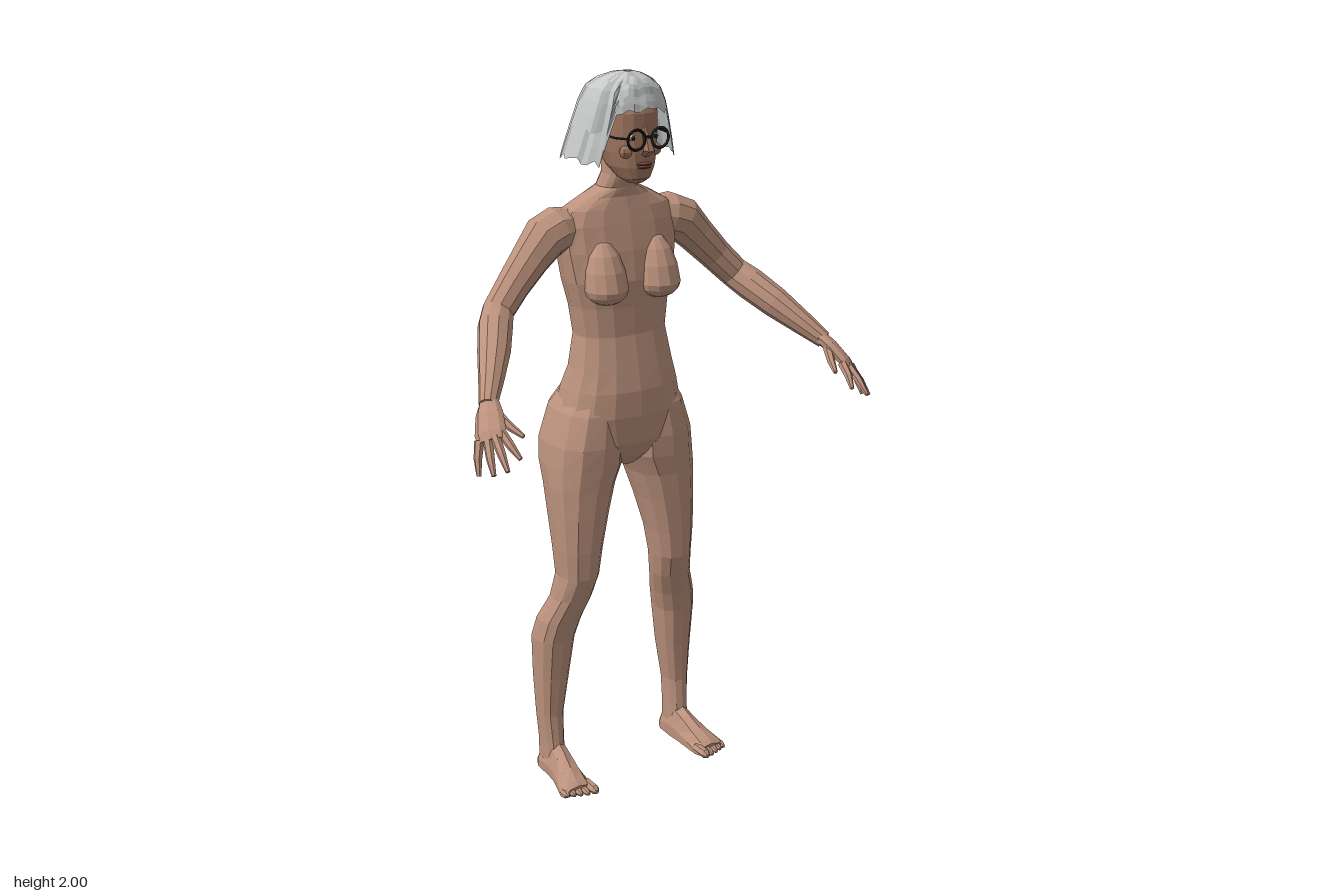
import * as THREE from 'three';

const mat = (name, color, side = THREE.FrontSide) => {
  const m = new THREE.MeshStandardMaterial({ color, side });
  m.name = name;
  return m;
};
const V = (p) => new THREE.Vector3(...p);

// Flat-shaded geometry from triangle corners, turned outward by its signed volume
function solid(points) {
  let vol = 0;
  const t = new THREE.Vector3();
  for (let i = 0; i < points.length; i += 3) vol += points[i].dot(t.crossVectors(points[i + 1], points[i + 2]));
  const out = [];
  for (let i = 0; i < points.length; i += 3) {
    const tri = vol < 0 ? [points[i], points[i + 2], points[i + 1]] : points.slice(i, i + 3);
    tri.forEach((p) => out.push(p.x, p.y, p.z));
  }
  const g = new THREE.BufferGeometry();
  g.setAttribute('position', new THREE.Float32BufferAttribute(out, 3));
  g.computeVertexNormals();
  return g;
}

// Closed skin over a list of rings
function loft(rings) {
  const pts = [], n = rings[0].length;
  for (let i = 0; i + 1 < rings.length; i++)
    for (let j = 0; j < n; j++) {
      const k = (j + 1) % n, a = rings[i][j], b = rings[i][k], c = rings[i + 1][k], d = rings[i + 1][j];
      pts.push(a, b, c, a, c, d);
    }
  [rings[0], rings[rings.length - 1]].forEach((r, e) => {
    const mid = r.reduce((s, p) => s.add(p), new THREE.Vector3()).divideScalar(n);
    for (let j = 0; j < n; j++) {
      const k = (j + 1) % n;
      if (e) pts.push(mid, r[j], r[k]); else pts.push(mid, r[k], r[j]);
    }
  });
  return solid(pts);
}

// Horizontal ring from y, x range and z range
const pw = (v, p) => Math.sign(v) * Math.abs(v) ** p;
function ring([y, x0, x1, zf, zb], n = 16, p = 0.85) {
  return Array.from({ length: n }, (_, j) => {
    const a = (j / n) * Math.PI * 2;
    return new THREE.Vector3((x0 + x1) / 2 + ((x1 - x0) / 2) * pw(Math.sin(a), p), y, (zf + zb) / 2 + ((zf - zb) / 2) * pw(Math.cos(a), p));
  });
}
const centred = (rows, n) => loft(rows.map(([y, w, zf, zb]) => ring([y, -w, w, zf, zb], n)));

// Limb along a path; each stop is [x, y, z, half width, half thickness]
function limb(stops, widthAxis, n = 8) {
  const c = stops.map(V3);
  return loft(stops.map((s, i) => {
    const t = c[Math.min(i + 1, c.length - 1)].clone().sub(c[Math.max(i - 1, 0)]).normalize();
    const u = V(widthAxis).addScaledVector(t, -V(widthAxis).dot(t)).normalize();
    const v = t.clone().cross(u);
    return Array.from({ length: n }, (_, j) => {
      const a = (j / n) * Math.PI * 2;
      return c[i].clone().addScaledVector(u, s[3] * Math.cos(a)).addScaledVector(v, (s[4] ?? s[3]) * Math.sin(a));
    });
  }));
}
function V3(s) { return new THREE.Vector3(s[0], s[1], s[2]); }

function corners(g) {
  const p = (g.index ? g.toNonIndexed() : g).attributes.position;
  return Array.from({ length: p.count }, (_, i) => new THREE.Vector3().fromBufferAttribute(p, i));
}
// Reflected copy for the other side
const mirror = (g) => solid(corners(g).map((p) => p.setX(-p.x)));
// Faceted ellipsoid
function ellipsoid([x, y, z], [a, b, c], n = 10) {
  return solid(corners(new THREE.SphereGeometry(1, n, Math.max(6, n - 3))).map((p) => p.set(x + p.x * a, y + p.y * b, z + p.z * c)));
}

export function createModel() {
  const model = new THREE.Group();
  model.name = 'figure';
  const skin = mat('skin', 0xbc927d), faceSkin = mat('face skin', 0xa0765f), lip = mat('lips', 0x7d4b42);
  const white = mat('eye white', 0xd8d2ca), dark = mat('dark frame', 0x1c1a1a);
  const greys = [mat('light grey hair', 0xc6c9c8, THREE.DoubleSide), mat('grey hair', 0xadb0b1, THREE.DoubleSide), mat('dark grey hair', 0x909495, THREE.DoubleSide)];
  const add = (name, g, m) => {
    const mesh = new THREE.Mesh(g, m);
    mesh.name = name;
    model.add(mesh);
  };
  const pair = (name, g, m) => {
    add('left ' + name, g, m);
    add('right ' + name, mirror(g), m);
  };

  // Torso and neck: y, half width, front z, back z
  add('torso', centred([
    [0.925, 0.025, -0.06, -0.14], [0.955, 0.085, -0.035, -0.19], [1.0, 0.15, -0.012, -0.235], [1.08, 0.182, -0.002, -0.245],
    [1.15, 0.167, -0.004, -0.235], [1.21, 0.15, -0.016, -0.207], [1.3, 0.134, -0.035, -0.197], [1.38, 0.145, -0.035, -0.205],
    [1.45, 0.163, -0.03, -0.215], [1.53, 0.176, -0.042, -0.218], [1.6, 0.18, -0.058, -0.212], [1.64, 0.16, -0.068, -0.2],
    [1.67, 0.105, -0.075, -0.187], [1.695, 0.056, -0.072, -0.175], [1.73, 0.047, -0.055, -0.16], [1.81, 0.047, -0.045, -0.16],
  ]), skin);
  // Chest form, tapering upward
  const chest = solid(corners(new THREE.SphereGeometry(1, 12, 8)).map((p) =>
    p.set(0.082 + p.x * 0.06, 1.435 + p.y * (p.y > 0 ? 0.13 : 0.042), -0.045 + p.z * 0.058 - Math.max(0, p.y) * 0.025)));
  pair('chest', chest, skin);

  // Legs: y, inner x, outer x, front z, back z
  pair('leg', loft([
    [1.16, 0.03, 0.145, -0.05, -0.21], [1.09, 0.008, 0.188, -0.02, -0.256], [1.0, 0.004, 0.217, -0.012, -0.266],
    [0.94, 0.006, 0.223, -0.015, -0.254], [0.88, 0.036, 0.224, -0.02, -0.218], [0.8, 0.06, 0.221, -0.022, -0.195],
    [0.7, 0.085, 0.216, -0.025, -0.17], [0.62, 0.098, 0.21, -0.03, -0.16], [0.55, 0.11, 0.222, -0.055, -0.168],
    [0.48, 0.13, 0.25, -0.077, -0.198], [0.42, 0.145, 0.26, -0.09, -0.213], [0.3, 0.16, 0.256, -0.105, -0.21],
    [0.18, 0.179, 0.25, -0.115, -0.2], [0.1, 0.182, 0.244, -0.108, -0.197], [0.04, 0.182, 0.244, -0.1, -0.198],
  ].map((r) => ring(r, 12))), skin);

  // Feet: z, centre x, half width, height
  pair('foot', loft([
    [-0.2, 0.212, 0.022, 0.04], [-0.18, 0.212, 0.032, 0.075], [-0.12, 0.212, 0.035, 0.1], [-0.08, 0.215, 0.036, 0.082],
    [-0.03, 0.222, 0.044, 0.056], [0.01, 0.228, 0.05, 0.036], [0.025, 0.228, 0.046, 0.026],
  ].map(([z, x, w, h]) => [[-1, 0], [-1, 0.35], [-0.6, 0.85], [0, 1], [0.6, 0.8], [1, 0.3], [1, 0]].map(([a, b]) => new THREE.Vector3(x + a * w, b * h, z)))), skin);
  for (let i = 0; i < 5; i++) {
    const x = [0.19, 0.212, 0.231, 0.249, 0.266][i], r = i ? 0.01 : 0.014, tip = 0.06 - 0.007 * i;
    pair('toe ' + (i + 1), limb([[x, r, 0, r], [x, r, tip - 0.012, r], [x, r * 0.8, tip, r * 0.5]], [1, 0, 0], 6), skin);
  }

  // Arms, hands and fingers
  pair('arm', limb([
    [0.11, 1.605, -0.14, 0.04], [0.17, 1.59, -0.142, 0.062], [0.215, 1.572, -0.14, 0.062], [0.26, 1.525, -0.135, 0.053],
    [0.32, 1.462, -0.125, 0.046], [0.375, 1.405, -0.108, 0.043], [0.405, 1.375, -0.07, 0.046], [0.445, 1.33, -0.005, 0.043],
    [0.49, 1.28, 0.06, 0.033], [0.528, 1.238, 0.112, 0.024],
  ], [0, 0, 1], 10), skin);
  const across = [0.055, -0.02, -0.04];
  pair('palm', limb([[0.52, 1.246, 0.102, 0.024, 0.02], [0.538, 1.223, 0.135, 0.036, 0.018], [0.556, 1.187, 0.172, 0.041, 0.016],
    [0.562, 1.172, 0.188, 0.036, 0.011]], across), skin);
  const fingers = {
    thumb: [[0.522, 1.225, 0.135], [0.503, 1.195, 0.18], [0.488, 1.178, 0.218]],
    'index finger': [[0.534, 1.188, 0.19], [0.528, 1.163, 0.225], [0.518, 1.136, 0.255]],
    'middle finger': [[0.552, 1.18, 0.19], [0.558, 1.148, 0.232], [0.561, 1.115, 0.267]],
    'ring finger': [[0.568, 1.172, 0.18], [0.58, 1.136, 0.214], [0.587, 1.102, 0.243]],
    'little finger': [[0.583, 1.168, 0.163], [0.597, 1.13, 0.18], [0.604, 1.09, 0.196]],
  };
  for (const [name, path] of Object.entries(fingers))
    pair(name, limb(path.map((p, i) => [...p, [0.013, 0.011, 0.006][i]]), across, 6), skin);

  // Head with face features
  add('head', centred([
    [1.716, 0.02, -0.012, -0.06], [1.73, 0.04, 0.006, -0.09], [1.76, 0.058, 0.012, -0.13], [1.8, 0.07, 0.014, -0.17],
    [1.85, 0.076, 0.012, -0.188], [1.9, 0.077, 0.012, -0.192], [1.945, 0.06, -0.01, -0.165], [1.972, 0.03, -0.04, -0.12],
  ], 18), faceSkin);
  add('nose', limb([[0, 1.862, 0.008, 0.008], [0, 1.83, 0.024, 0.011], [0, 1.81, 0.034, 0.018, 0.015], [0, 1.796, 0.018, 0.012, 0.008]], [1, 0, 0], 6), faceSkin);
  add('upper lip', ellipsoid([0, 1.77, 0.012], [0.024, 0.005, 0.011]), lip);
  add('lower lip', ellipsoid([0, 1.762, 0.011], [0.02, 0.005, 0.011]), lip);
  pair('ear', ellipsoid([0.08, 1.825, -0.075], [0.012, 0.032, 0.02], 8), faceSkin);
  pair('cheek', ellipsoid([0.042, 1.803, -0.008], [0.022, 0.018, 0.016], 8), faceSkin);
  pair('eye', ellipsoid([0.034, 1.84, 0.004], [0.014, 0.007, 0.01], 8), white);
  pair('iris', ellipsoid([0.034, 1.84, 0.012], [0.006, 0.006, 0.004], 8), dark);

  // Spectacles
  pair('lens rim', new THREE.TorusGeometry(0.026, 0.004, 6, 18).translate(0.036, 1.838, 0.03), dark);
  add('bridge', new THREE.BoxGeometry(0.022, 0.006, 0.006).translate(0, 1.843, 0.031), dark);
  pair('temple', limb([[0.061, 1.843, 0.03, 0.003], [0.08, 1.843, 0.0, 0.003], [0.085, 1.845, -0.08, 0.003]], [0, 1, 0], 4), dark);

  // Bobbed hair: open shell with a gap for the face and ragged ends
  const rows = [[2.0, 0.012, -0.055, -0.08], [1.99, 0.05, -0.015, -0.14], [1.965, 0.085, 0.008, -0.19], [1.92, 0.104, 0.024, -0.215],
    [1.87, 0.118, 0.024, -0.23], [1.82, 0.132, 0.023, -0.246], [1.762, 0.148, 0.016, -0.258]];
  const cols = 44, steps = 8;
  const hash = (a, b) => { const s = Math.sin(a * 12.99 + b * 78.23) * 43758.55; return s - Math.floor(s); };
  const rings = rows.map(([y, w, zf, zb]) => ring([y, -w, w, zf, zb], cols, 0.85));
  const hairPoint = (k, j) => {
    const col = j % cols, off = Math.min(col, cols - col);
    const end = (off <= 5 ? 3.15 + off * 0.05 : 5.8) + (hash(col, 1) - 0.5) * 0.35;
    const t = (k / steps) * end, i = Math.min(Math.floor(t), rows.length - 2);
    const p = rings[i][col].clone().lerp(rings[i + 1][col], t - i);
    const lift = 1 + (hash(col, 7) - 0.5) * 0.05 * Math.min(1, t / 2);
    p.x *= lift;
    p.z = -0.1 + (p.z + 0.1) * lift;
    return p;
  };
  const tones = [[], [], []];
  for (let k = 0; k < steps; k++)
    for (let j = 0; j < cols; j++) {
      const a = hairPoint(k, j), b = hairPoint(k, j + 1), c = hairPoint(k + 1, j + 1), d = hairPoint(k + 1, j);
      const h = hash(j >> 1, 3) * 0.5 + hash(j, k >> 1) * 0.5;
      tones[h < 0.5 ? 0 : h < 0.72 ? 1 : 2].push(a, d, c, a, c, b);
    }
  const hair = new THREE.BufferGeometry().setFromPoints(tones.flat());
  let start = 0;
  tones.forEach((t, i) => { hair.addGroup(start, t.length, i); start += t.length; });
  hair.computeVertexNormals();
  add('hair', hair, greys);
  return model;
}
